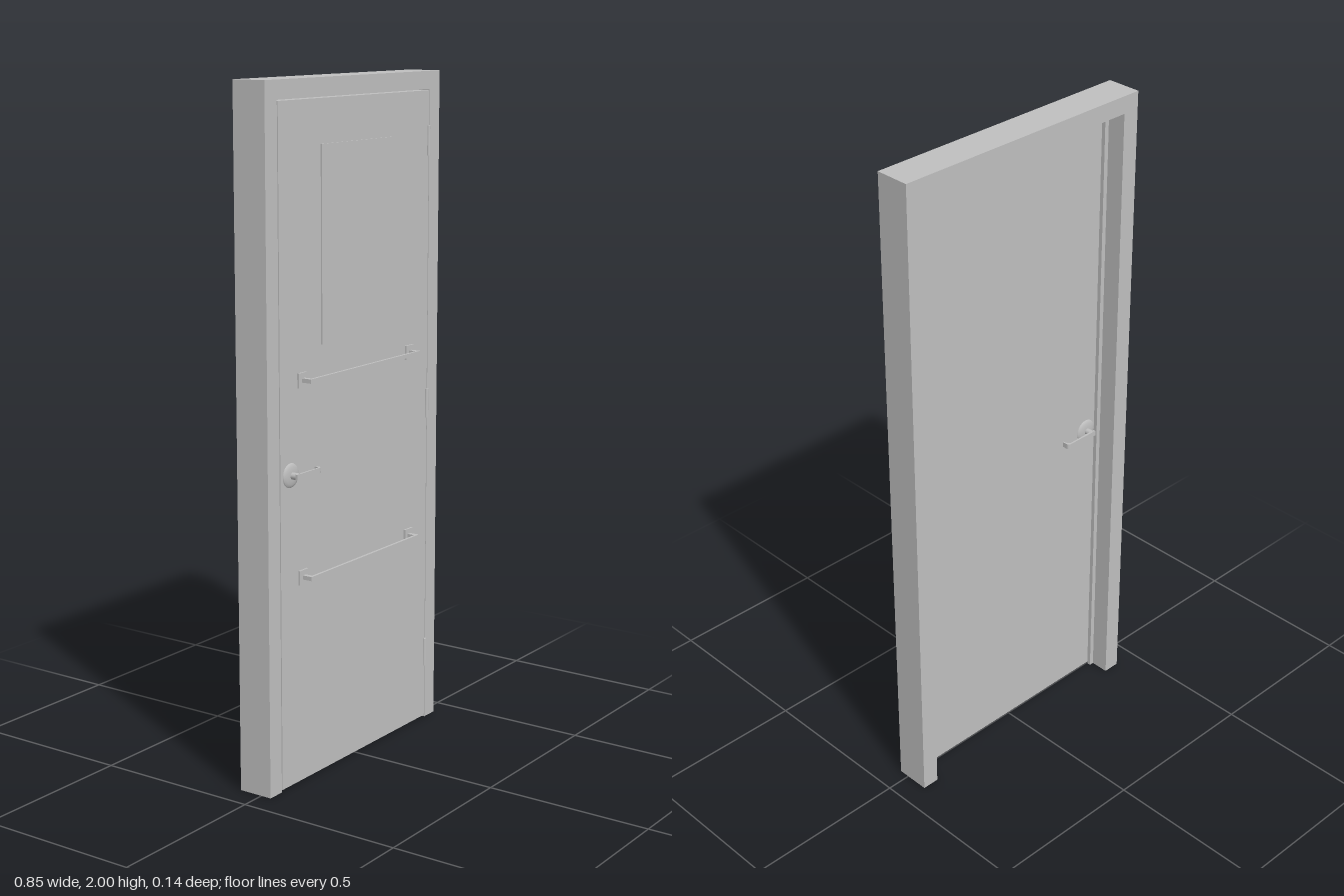
import * as THREE from 'three';

const FRONT = 0.033, BACK = -0.003; // door leaf faces

export function createModel() {
  const model = new THREE.Group();
  const grey = new THREE.MeshStandardMaterial({ color: 0xbfbfbf });
  grey.name = 'paintedGrey';

  const add = (parent, name, geometry, x = 0, y = 0, z = 0) => {
    const mesh = new THREE.Mesh(geometry, grey);
    mesh.name = name;
    mesh.position.set(x, y, z);
    parent.add(mesh);
    return mesh;
  };
  // Box given by its limits
  const box = (parent, name, x0, x1, y0, y1, z0, z1) =>
    add(parent, name, new THREE.BoxGeometry(x1 - x0, y1 - y0, z1 - z0),
      (x0 + x1) / 2, (y0 + y1) / 2, (z0 + z1) / 2);
  // Doorway-shaped arch, open at the floor
  const arch = (name, outerX, outerY, innerX, innerY, z0, z1) => {
    const s = new THREE.Shape([
      [-outerX, 0], [-innerX, 0], [-innerX, innerY], [innerX, innerY],
      [innerX, 0], [outerX, 0], [outerX, outerY], [-outerX, outerY],
    ].map(([x, y]) => new THREE.Vector2(x, y)));
    add(model, name, new THREE.ExtrudeGeometry(s, { depth: z1 - z0, bevelEnabled: false }), 0, 0, z0);
  };

  // Frame with a door stop behind the leaf
  arch('frame', 0.425, 2, 0.372, 1.948, -0.073, FRONT);
  arch('doorStop', 0.372, 1.948, 0.358, 1.934, -0.016, -0.004);

  // Door leaf and the thin plate on its upper half
  box(model, 'doorLeaf', -0.368, 0.369, 0.006, 1.944, BACK, FRONT);
  box(model, 'upperPlate', -0.175, 0.175, 1.265, 1.82, FRONT, 0.037);

  // Hinge knuckles
  for (const y of [0.215, 1.007, 1.798])
    add(model, 'hinge', new THREE.CylinderGeometry(0.006, 0.006, 0.088, 16), 0.367, y, 0.034);

  // Horizontal bars on square posts and base plates
  for (const y of [0.614, 1.179]) {
    const bar = new THREE.Group();
    bar.name = 'pullBar';
    box(bar, 'bar', -0.275, 0.275, y - 0.006, y + 0.006, 0.062, 0.07);
    for (const s of [-1, 1]) {
      const c = s * 0.268;
      box(bar, 'barPost', c - 0.007, c + 0.007, y - 0.006, y + 0.006, FRONT, 0.064);
      box(bar, 'barBasePlate', c - 0.02, c + 0.02, y - 0.021, y + 0.021, FRONT, 0.039);
    }
    model.add(bar);
  }

  // Lever handle: domed rose, spindle and a lever that returns to the door
  const roseProfile = [[0.035, 0], [0.034, 0.003], [0.026, 0.006], [0.014, 0.008], [0, 0.008]]
    .map(([r, h]) => new THREE.Vector2(r, h));
  const leverShape = new THREE.Shape();
  leverShape.moveTo(-0.01, 0.025);
  leverShape.lineTo(0.088, 0.027);
  leverShape.quadraticCurveTo(0.1, 0.026, 0.101, 0.008);
  leverShape.lineTo(0.105, 0.008);
  leverShape.lineTo(0.105, 0.022);
  leverShape.quadraticCurveTo(0.105, 0.032, 0.094, 0.032);
  leverShape.lineTo(-0.01, 0.032);
  const makeHandle = (name) => {
    const handle = new THREE.Group();
    handle.name = name;
    add(handle, 'rose', new THREE.LatheGeometry(roseProfile, 32)).rotation.x = Math.PI / 2;
    add(handle, 'spindle', new THREE.CylinderGeometry(0.01, 0.01, 0.03, 20), 0, 0, 0.016)
      .rotation.x = Math.PI / 2;
    const lever = new THREE.ExtrudeGeometry(leverShape, { depth: 0.016, bevelEnabled: false, curveSegments: 8 });
    lever.translate(0, 0, -0.008).rotateX(Math.PI / 2);
    add(handle, 'lever', lever);
    return handle;
  };
  const frontHandle = makeHandle('frontHandle');
  frontHandle.position.set(-0.322, 0.918, FRONT);
  // Turned round its x axis, the inside lever still points to the middle
  const backHandle = makeHandle('backHandle');
  backHandle.position.set(-0.322, 0.918, BACK);
  backHandle.rotation.x = Math.PI;
  model.add(frontHandle, backHandle);

  return model;
}
